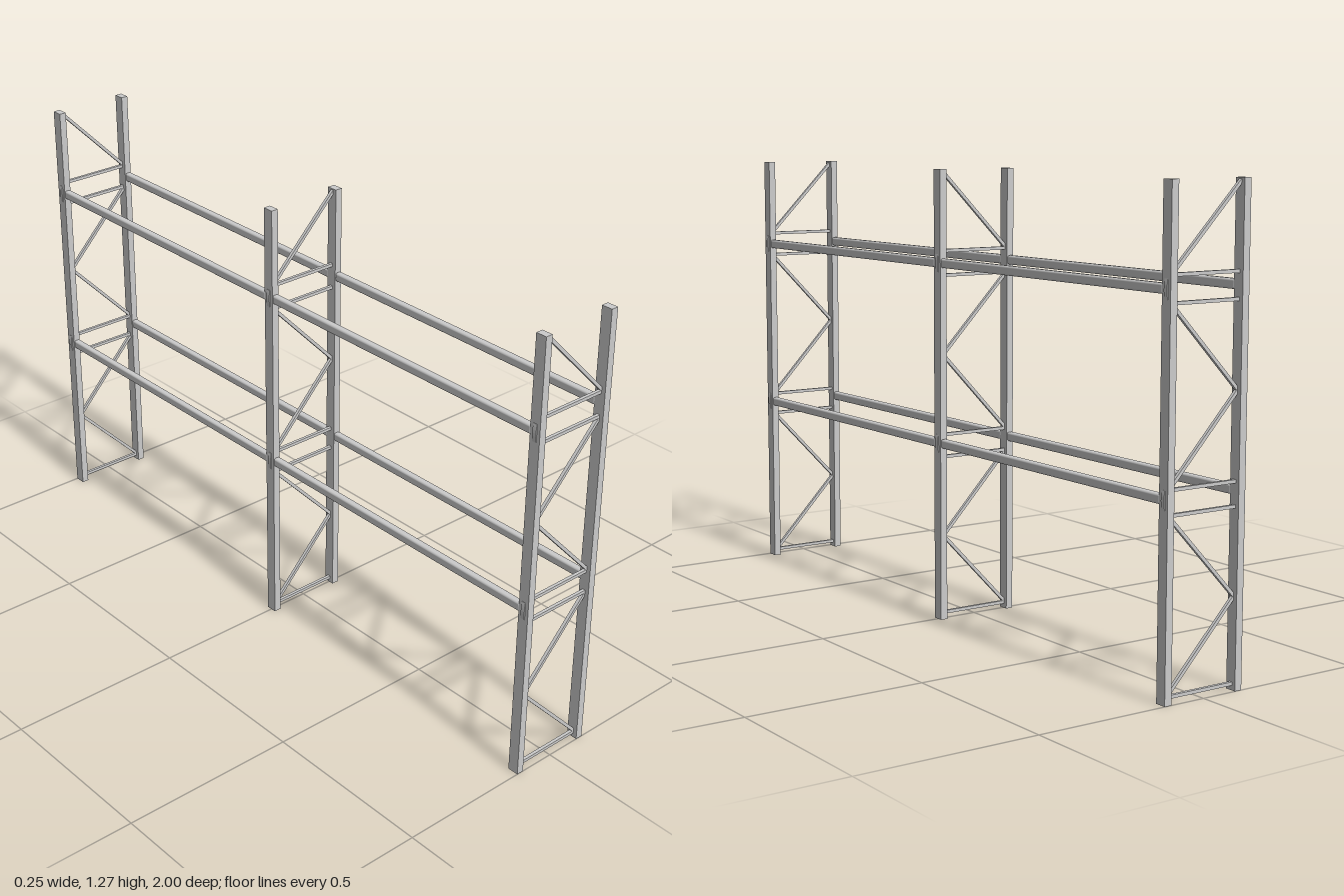
import * as THREE from 'three';
import { RoundedBoxGeometry } from 'three/addons/geometries/RoundedBoxGeometry.js';

const HEIGHT = 1.27, POST_X = 0.113, POST_W = 0.021, POST_D = 0.032;
const FRAME_Z = 0.984;
const LEVELS = [0.506, 1.012];

const material = new THREE.MeshStandardMaterial({ color: 0xcccccc });

function add(parent, name, geometry, x, y, z) {
  const mesh = new THREE.Mesh(geometry, material);
  mesh.name = name;
  mesh.position.set(x, y, z);
  parent.add(mesh);
  return mesh;
}

// Thin square bar between two points in the plane of a frame
function brace(parent, name, x1, y1, x2, y2) {
  const length = Math.hypot(x2 - x1, y2 - y1);
  const bar = add(parent, name, new THREE.BoxGeometry(length, 0.009, 0.009), (x1 + x2) / 2, (y1 + y2) / 2, 0);
  bar.rotation.z = Math.atan2(y2 - y1, x2 - x1);
}

// Slightly bowed plate hooking a beam onto the outside of a post
function connectorGeometry() {
  const shape = new THREE.Shape();
  shape.moveTo(0, -0.025);
  shape.lineTo(0.002, -0.025);
  shape.quadraticCurveTo(0.006, 0, 0.002, 0.025);
  shape.lineTo(0, 0.025);
  const geometry = new THREE.ExtrudeGeometry(shape, { depth: 0.012, bevelEnabled: false, curveSegments: 6 });
  return geometry.translate(0, 0, -0.006);
}

// Upright frame: two posts, level bars and a zigzag of diagonals
function uprightFrame(side) {
  const frame = new THREE.Group();
  frame.name = 'uprightFrame';
  const inner = POST_X - POST_W / 2 + 0.003;
  for (const s of [-1, 1]) {
    add(frame, 'post', new THREE.BoxGeometry(POST_W, HEIGHT, POST_D), s * POST_X, HEIGHT / 2, 0);
    for (const y of LEVELS) {
      const plate = add(frame, 'beamConnector', connectorGeometry(), s * (POST_X + POST_W / 2 - 0.001), y, 0);
      if (s < 0) plate.rotation.y = Math.PI;
    }
  }
  for (const y of [0.017, 0.466, 0.529, 0.977, 1.045]) brace(frame, 'levelBar', -inner, y, inner, y);
  // each entry: height on one post, height on the opposite post
  const zigzag = [[0.24, 0.02], [0.24, 0.462], [0.755, 0.533], [0.755, 0.973], [1.263, 1.05]];
  for (const [a, b] of zigzag) brace(frame, 'diagonalBrace', -side * inner, a, side * inner, b);
  return frame;
}

export function createModel() {
  const rack = new THREE.Group();
  rack.name = 'storageRack';

  // Three frames, the middle one mirrored
  for (const i of [-1, 0, 1]) {
    const frame = uprightFrame(i === 0 ? -1 : 1);
    frame.position.z = i * FRAME_Z;
    rack.add(frame);
  }

  // Load beams of both bays, butting against the posts
  const length = FRAME_Z - POST_D + 0.004;
  for (const bay of [-0.5, 0.5])
    for (const y of LEVELS)
      for (const s of [-1, 1])
        add(rack, 'loadBeam', new RoundedBoxGeometry(0.02, 0.026, length, 3, 0.006), s * POST_X, y, bay * FRAME_Z);

  return rack;
}
